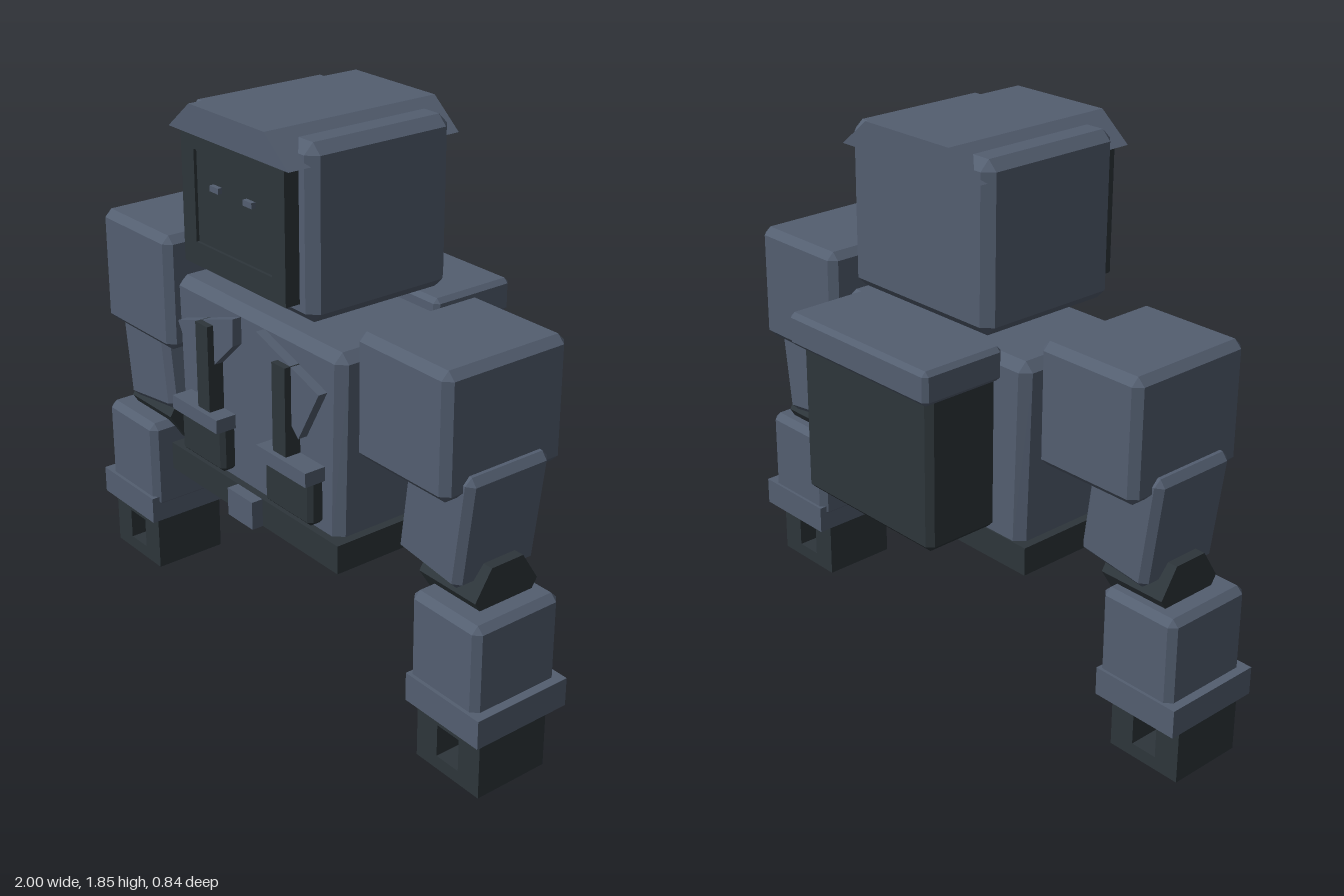
import * as THREE from 'three';
import { ConvexGeometry } from 'three/addons/geometries/ConvexGeometry.js';

const mat = (name, color) => {
  const m = new THREE.MeshStandardMaterial({ color, flatShading: true });
  m.name = name;
  return m;
};

// Box given by its min and max corners
function box([x0, y0, z0], [x1, y1, z1]) {
  return new THREE.BoxGeometry(x1 - x0, y1 - y0, z1 - z0)
    .translate((x0 + x1) / 2, (y0 + y1) / 2, (z0 + z1) / 2);
}

// Box with every edge chamfered; taper scales the width at the bottom
function chamferBox([x0, y0, z0], [x1, y1, z1], c = 0.03, taper = 1) {
  const h = [(x1 - x0) / 2, (y1 - y0) / 2, (z1 - z0) / 2];
  const pts = [];
  for (const sx of [-1, 1]) for (const sy of [-1, 1]) for (const sz of [-1, 1])
    for (let full = 0; full < 3; full++) {
      const p = [sx, sy, sz].map((s, i) => s * (h[i] - (i === full ? 0 : c)));
      pts.push(new THREE.Vector3(p[0] * (sy < 0 ? taper : 1), p[1], p[2]));
    }
  return new ConvexGeometry(pts).translate((x0 + x1) / 2, (y0 + y1) / 2, (z0 + z1) / 2);
}

// Outline in the xy plane pushed from z0 to z1, with optional rectangular hole
function plate(points, z0, z1, hole) {
  const shape = new THREE.Shape(points.map(([x, y]) => new THREE.Vector2(x, y)));
  if (hole) shape.holes.push(new THREE.Path(hole.map(([x, y]) => new THREE.Vector2(x, y))));
  return new THREE.ExtrudeGeometry(shape, { depth: z1 - z0, bevelEnabled: false }).translate(0, 0, z0);
}
const rect = (x0, y0, x1, y1) => [[x0, y0], [x1, y0], [x1, y1], [x0, y1]];

export function createModel() {
  const model = new THREE.Group();
  model.name = 'robot';
  const slate = mat('slate armour', 0x535e70);
  const dark = mat('dark metal', 0x2d353a);

  const add = (parent, name, geometry, material) => {
    const m = new THREE.Mesh(geometry, material);
    m.name = name;
    parent.add(m);
    return m;
  };
  const group = (name) => {
    const g = new THREE.Group();
    g.name = name;
    model.add(g);
    return g;
  };

  // Head with cap, face frame, sunken screen and eyes
  const head = group('head');
  add(head, 'headBlock', chamferBox([-0.313, 1.29, -0.17], [0.313, 1.825, 0.355], 0.032), slate);
  add(head, 'cap', plate([[-0.295, 1.76], [0.295, 1.76], [0.185, 1.85], [-0.185, 1.85]], -0.205, 0.42), slate);
  add(head, 'faceFrame', plate(rect(-0.255, 1.345, 0.255, 1.77), 0.34, 0.405, rect(-0.19, 1.42, 0.19, 1.71)), dark);
  add(head, 'screen', box([-0.19, 1.42, 0.34], [0.19, 1.71, 0.395]), dark);
  for (const s of [-1, 1])
    add(head, 'eye', box([s * 0.083 - 0.021, 1.602, 0.39], [s * 0.083 + 0.021, 1.62, 0.41]), slate);
  add(head, 'neck', new THREE.CylinderGeometry(0.12, 0.12, 0.14, 8).translate(0, 1.255, 0.1), dark);

  // Torso with belt and buckle
  const torso = group('torso');
  add(torso, 'chest', chamferBox([-0.425, 0.6, -0.12], [0.425, 1.23, 0.34], 0.03, 0.965), slate);
  add(torso, 'belt', box([-0.44, 0.54, -0.125], [0.44, 0.635, 0.365]), dark);
  add(torso, 'buckle', box([-0.065, 0.54, 0.36], [0.065, 0.635, 0.405]), slate);

  // Backpack
  const pack = group('backpack');
  add(pack, 'packBody', chamferBox([-0.3, 0.65, -0.385], [0.3, 1.17, -0.11], 0.02), dark);
  add(pack, 'packLid', chamferBox([-0.322, 1.15, -0.418], [0.322, 1.26, -0.11], 0.015), slate);

  for (const s of [1, -1]) {
    const side = s > 0 ? 'left' : 'right';

    // Chest flap, strap and pouch
    const gear = group(side + 'ChestGear');
    const flap = [[0.06, 1.2], [0.063, 1.11], [0.263, 0.922], [0.362, 1.1]];
    add(gear, 'lapel', plate(flap.map(([x, y]) => [s * x, y]), 0.33, 0.372), slate);
    add(gear, 'strap', box([s * 0.198 - 0.032, 0.84, 0.33], [s * 0.198 + 0.032, 1.145, 0.395]), dark);
    add(gear, 'pouch', chamferBox([s * 0.225 - 0.115, 0.66, 0.33], [s * 0.225 + 0.115, 0.83, 0.39], 0.014), dark);
    add(gear, 'pouchLid', box([s * 0.227 - 0.122, 0.808, 0.33], [s * 0.227 + 0.122, 0.855, 0.413]), slate);

    // Arm: shoulder, tilted upper arm, elbow, forearm, cuff and hollow hand
    const arm = group(side + 'Arm');
    const at = (x) => s * x;
    const span = (a, b) => [Math.min(at(a), at(b)), Math.max(at(a), at(b))];
    const block = (a, b, y0, y1, z0, z1, c) => {
      const [x0, x1] = span(a, b);
      return c ? chamferBox([x0, y0, z0], [x1, y1, z1], c) : box([x0, y0, z0], [x1, y1, z1]);
    };
    add(arm, 'shoulder', block(0.475, 0.867, 0.935, 1.33, -0.123, 0.333, 0.025), slate);
    const upper = add(arm, 'upperArm', chamferBox([-0.134, -0.187, -0.156], [0.134, 0.187, 0.156], 0.022), slate);
    upper.position.set(at(0.742), 0.833, 0.11);
    upper.rotation.z = -s * 0.13;
    const elbow = add(arm, 'elbow', new THREE.CylinderGeometry(0.11, 0.11, 0.24, 6), dark);
    elbow.geometry.rotateZ(Math.PI / 2).scale(1, 1, 1.1);
    elbow.position.set(at(0.775), 0.605, 0.11);
    add(arm, 'forearm', block(0.68, 0.97, 0.25, 0.575, -0.04, 0.29, 0.022), slate);
    add(arm, 'cuff', block(0.685, 1.0, 0.2, 0.295, -0.05, 0.302), slate);
    const [h0, h1] = span(0.705, 0.977);
    const [g0, g1] = span(0.794, 0.888);
    add(arm, 'hand', plate(rect(h0, 0, h1, 0.21), 0.007, 0.27, rect(g0, 0.045, g1, 0.155)), dark);
  }
  return model;
}
